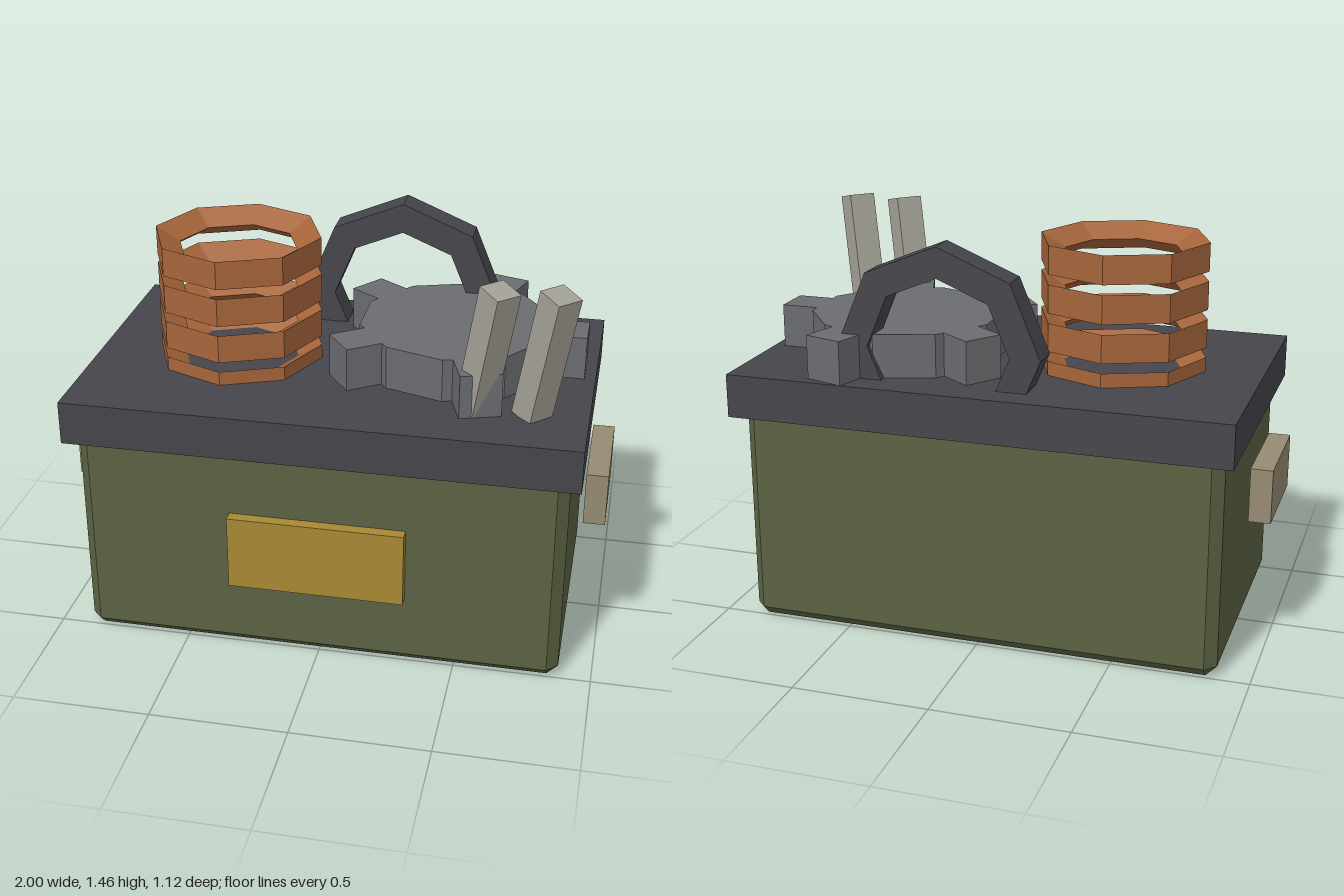
import * as THREE from 'three';
import { ConvexGeometry } from 'three/addons/geometries/ConvexGeometry.js';

export function createModel() {
  const model = new THREE.Group();
  model.name = 'scrapBin';

  const material = (name, color) => {
    const m = new THREE.MeshStandardMaterial({ color });
    m.name = name;
    return m;
  };
  const olive = material('olive paint', 0x5b6342);
  const charcoal = material('charcoal metal', 0x46454b);
  const mustard = material('mustard label', 0xa88834);
  const khaki = material('khaki handle', 0x968b73);
  const copper = material('copper', 0xa6653b);
  const steel = material('grey steel', 0x6a6c70);
  const pale = material('pale metal', 0xa3a196);

  // Adds a faceted mesh
  const add = (name, geometry, mat, x = 0, y = 0, z = 0, parent = model) => {
    const flat = geometry.index ? geometry.toNonIndexed() : geometry;
    flat.computeVertexNormals();
    const mesh = new THREE.Mesh(flat, mat);
    mesh.name = name;
    mesh.position.set(x, y, z);
    parent.add(mesh);
    return mesh;
  };
  const box = (w, h, d) => new THREE.BoxGeometry(w, h, d);

  // Eight-sided ring from a closed [radius, height] section, listed anticlockwise
  const octagonRing = (section) => new THREE.LatheGeometry(
    [...section, section[0]].map(([r, y]) => new THREE.Vector2(r, y)), 8);

  // Bin body with chamfered upright and bottom edges
  const W = 0.88, D = 0.52, C = 0.04;
  const corners = [];
  for (const sx of [-1, 1]) for (const sz of [-1, 1]) {
    corners.push(new THREE.Vector3(sx * (W - C), 0, sz * (D - C)));
    for (const y of [C, 0.81]) {
      corners.push(new THREE.Vector3(sx * W, y, sz * (D - C)));
      corners.push(new THREE.Vector3(sx * (W - C), y, sz * D));
    }
  }
  add('binBody', new ConvexGeometry(corners), olive);

  // Lid, label and side handles
  add('lid', box(1.84, 0.16, 1.12), charcoal, 0, 0.88, 0);
  add('frontLabel', box(0.64, 0.28, 0.053), mustard, 0, 0.42, 0.5365);
  for (const [side, name] of [[1, 'leftHandle'], [-1, 'rightHandle']]) {
    add(name, box(0.08, 0.2, 0.4), khaki, side * 0.96, 0.58, 0);
  }

  // Copper coil: stacked rings, flat outside and pointed inside
  const coil = new THREE.Group();
  coil.name = 'copperCoil';
  coil.position.set(-0.4, 0.96, 0);
  model.add(coil);
  for (let i = 0; i < 4; i++) {
    const ring = octagonRing([[0.22, 0], [0.31, -0.052], [0.31, 0.052]]);
    add('coilRing', ring, copper, 0, i * 0.14, 0, coil);
  }

  // Gear: ten-sided disc with five teeth
  const gear = new THREE.Group();
  gear.name = 'gear';
  gear.position.set(0.4, 1.035, -0.08);
  model.add(gear);
  add('gearDisc', new THREE.CylinderGeometry(0.36, 0.36, 0.17, 10), steel, 0, 0, 0, gear);
  for (let i = 0; i < 5; i++) {
    const a = (i / 5) * Math.PI * 2;
    const tooth = add('gearTooth', box(0.18, 0.17, 0.15), steel,
      Math.cos(a) * 0.39, 0, -Math.sin(a) * 0.39, gear);
    tooth.rotation.y = a;
  }

  // Upright ring, half sunk through the lid
  const hoop = add('uprightRing',
    octagonRing([[0.263, -0.057], [0.375, -0.057], [0.375, 0.057], [0.263, 0.057]]),
    charcoal, 0.15, 1.081, -0.4);
  hoop.rotation.x = Math.PI / 2;

  // Two leaning bars
  for (const x of [0.56, 0.76]) {
    const bar = add('leaningBar', box(0.1, 0.5, 0.1), pale, x, 1.2, 0.357);
    bar.rotation.set(0, -Math.PI / 4, -0.23, 'YXZ');
  }

  return model;
}
